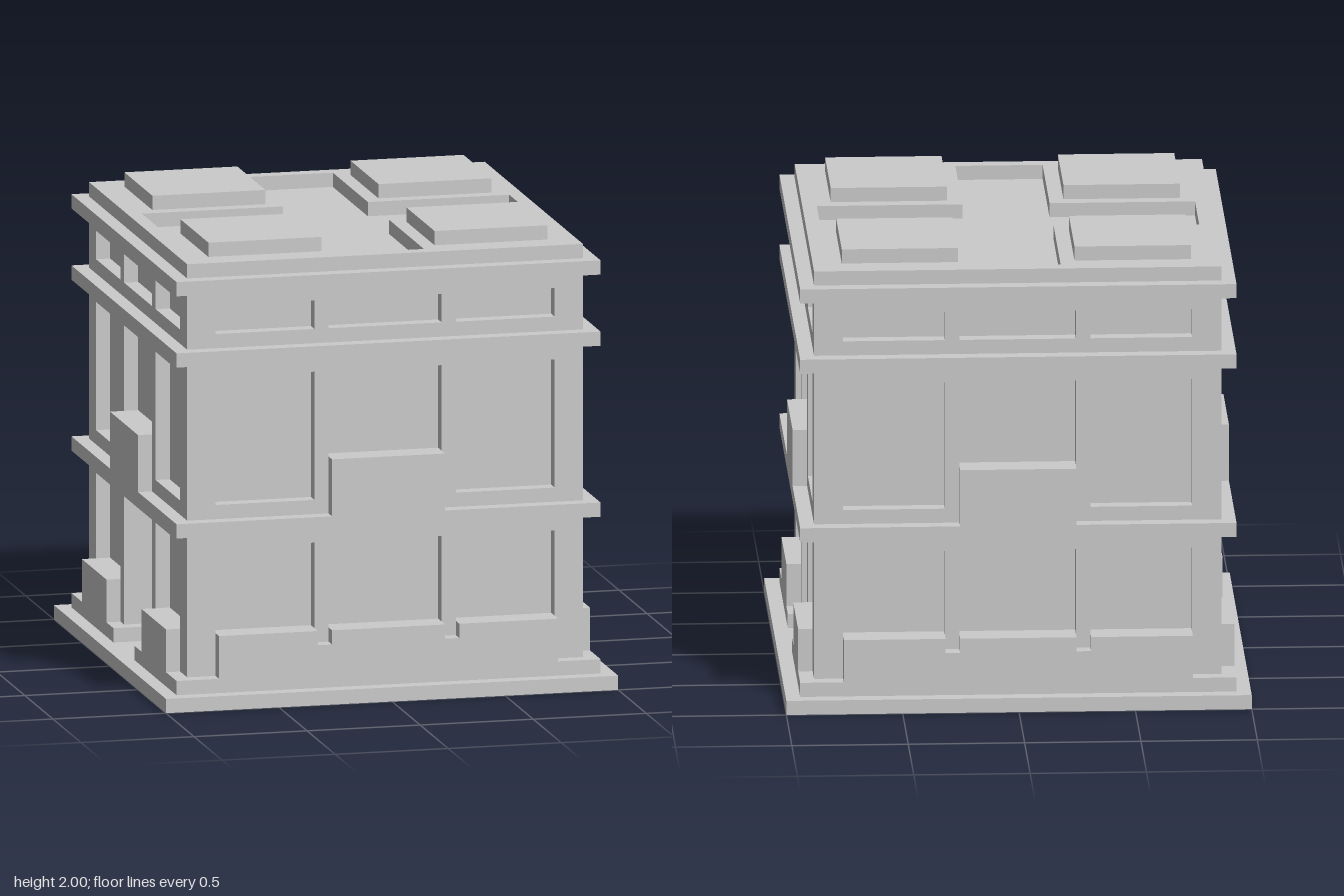
import * as THREE from 'three';

const U = 1 / 16; // building module

export function createModel() {
  const model = new THREE.Group();
  const material = new THREE.MeshStandardMaterial({ color: 0xcccccc, flatShading: true });

  const add = (parent, name, geometry) => {
    const mesh = new THREE.Mesh(geometry, material);
    mesh.name = name;
    parent.add(mesh);
    return mesh;
  };
  // Box from its limits, given in modules
  const block = (parent, name, x0, x1, y0, y1, z0, z1) => {
    const mesh = add(parent, name, new THREE.BoxGeometry((x1 - x0) * U, (y1 - y0) * U, (z1 - z0) * U));
    mesh.position.set((x0 + x1) * U / 2, (y0 + y1) * U / 2, (z0 + z1) * U / 2);
    return mesh;
  };
  const points = (pts) => pts.map(([x, y]) => new THREE.Vector2(x * U, y * U));
  const rect = (x0, x1, y0, y1) => points([[x0, y0], [x1, y0], [x1, y1], [x0, y1]]);
  const extrude = (shape, depth) => new THREE.ExtrudeGeometry(shape, { depth: depth * U, bevelEnabled: false });
  // Floor-plan shape raised between two heights
  const plan = (name, shape, y0, y1) => {
    const mesh = add(model, name, extrude(shape, y1 - y0));
    mesh.rotation.x = -Math.PI / 2;
    mesh.position.y = y0 * U;
  };

  block(model, 'basePlate', -16, 16, 0, 1, -16, 16);

  // Core: its faces are the window panes; the lower part has two door recesses
  plan('lowerCore', new THREE.Shape(points([
    [-13, -13], [13, -13], [13, -4], [11, -4], [11, 4], [13, 4],
    [13, 13], [-13, 13], [-13, 4], [-11, 4], [-11, -4], [-13, -4],
  ])), 1, 11);
  block(model, 'upperCore', -13, 13, 11, 30, -13, 13);

  // Cornice bands
  for (const y of [12, 24, 29]) block(model, 'corniceBand', -15, 15, y, y + 1, -15, 15);

  // Roof slab with a cross-shaped sunken terrace
  const roof = new THREE.Shape(rect(-14, 14, -14, 14));
  roof.holes.push(new THREE.Path(points([
    [-3, -13], [3, -13], [3, -3], [13, -3], [13, 3], [3, 3],
    [3, 13], [-3, 13], [-3, 3], [-13, 3], [-13, -3], [-3, -3],
  ])));
  plan('roofSlab', roof, 30, 31);
  for (const x of [-12, 4]) for (const z of [-12, 4]) block(model, 'roofPad', x, x + 8, 31, 32, z, z + 8);

  // Window bays across each facade
  const bays = [[-12, -5], [-4, 4], [5, 12]];

  const facade = (name, hasDoor) => {
    const group = new THREE.Group();
    group.name = name;
    const w = hasDoor ? 13 : 14;
    const outline = hasDoor
      ? points([[-w, 1], [-4, 1], [-4, 11], [4, 11], [4, 1], [w, 1], [w, 30], [-w, 30]])
      : rect(-w, w, 1, 30);
    const wall = new THREE.Shape(outline);
    bays.forEach(([a, b], i) => {
      const middle = i === 1;
      if (!(hasDoor && middle)) wall.holes.push(new THREE.Path(rect(a, b, 3, 11)));
      wall.holes.push(new THREE.Path(rect(a, b, 14, 23)));
      wall.holes.push(new THREE.Path(rect(a, b, 26, 28)));
    });
    add(group, 'windowWall', extrude(wall, 1)).position.z = 13 * U;

    block(group, 'balcony', -4, 4, 13, 17, 13, 15);

    if (hasDoor) {
      // Plinth stops at the doorway, with a planter on each side
      for (const s of [-1, 1]) {
        const side = (a, b) => (s > 0 ? [a, b] : [-b, -a]);
        block(group, 'plinth', ...side(3, 14), 1, 2, 12, 15);
        block(group, 'planter', ...side(5, 12), 2, 5, 13, 15);
      }
    } else {
      // Continuous planter with raised sections below the windows
      block(group, 'plinth', -15, 15, 1, 2, 13, 15);
      block(group, 'planter', -12, 12, 2, 4, 13, 15);
      for (const [a, b] of bays) block(group, 'planterSection', a, b, 4, 5, 13, 15);
    }
    return group;
  };

  ['frontFacade', 'leftFacade', 'backFacade', 'rightFacade'].forEach((name, i) => {
    const side = facade(name, i % 2 === 1);
    side.rotation.y = i * Math.PI / 2;
    model.add(side);
  });

  return model;
}
